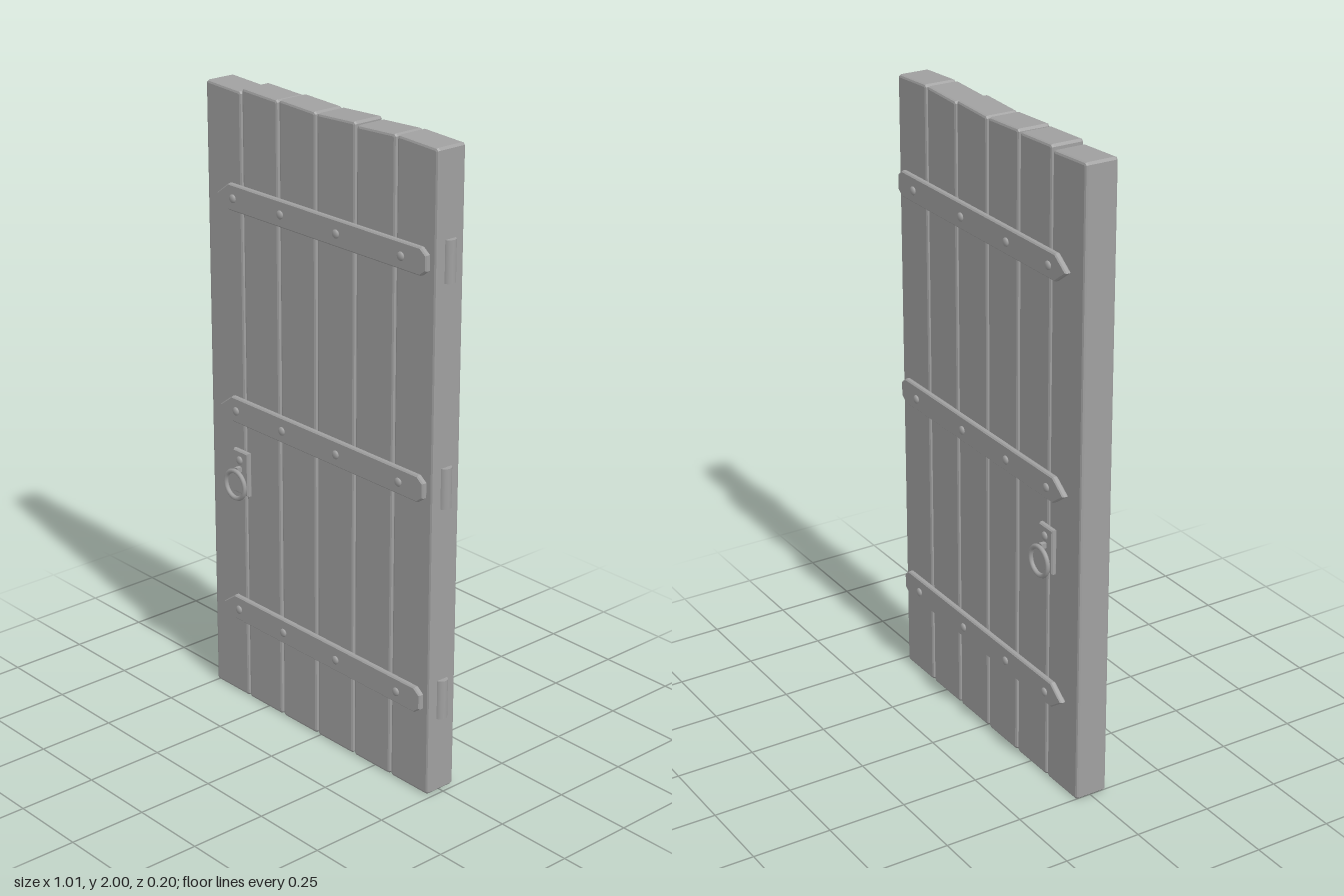
import * as THREE from 'three';

export function createModel() {
  const door = new THREE.Group();
  door.name = 'plankDoor';
  const grey = new THREE.MeshStandardMaterial({ color: 0xa0a0a0 });
  grey.name = 'grey';

  const add = (name, geometry, x = 0, y = 0, z = 0) => {
    const mesh = new THREE.Mesh(geometry, grey);
    mesh.name = name;
    mesh.position.set(x, y, z);
    door.add(mesh);
    return mesh;
  };

  // Bevelled slab from an outline, centred on z; the bevel stays inside the outline
  const slab = (points, thickness, bevel, segments) => {
    const shape = new THREE.Shape(points.map(([x, y]) => new THREE.Vector2(x, y)));
    const depth = thickness - 2 * bevel;
    const geometry = new THREE.ExtrudeGeometry(shape, {
      depth, bevelEnabled: true, bevelSize: bevel, bevelThickness: bevel,
      bevelOffset: -bevel, bevelSegments: segments,
    });
    return geometry.translate(0, 0, -depth / 2);
  };

  // Planks: left edge, right edge, top height at left and right
  const planks = [
    [-0.506, -0.345, 1.995, 1.988],
    [-0.341, -0.180, 2.0, 1.994],
    [-0.174, -0.014, 1.998, 1.992],
    [-0.009, 0.154, 1.991, 1.997],
    [0.159, 0.320, 1.99, 1.996],
    [0.325, 0.487, 1.997, 1.99],
  ];
  planks.forEach(([x0, x1, y0, y1], i) => {
    const c = 0.007;
    add(`plank${i + 1}`, slab([
      [x0 + c, 0], [x1 - c, 0], [x1, c], [x1, y1 - c],
      [x1 - c, y1], [x0 + c, y0], [x0, y0 - c], [x0, c],
    ], 0.105, 0.008, 2));
  });

  const strapGeometry = slab([
    [-0.443, 0], [-0.387, -0.041], [0.442, -0.041], [0.466, -0.023],
    [0.466, 0.023], [0.442, 0.041], [-0.387, 0.041],
  ], 0.019, 0.004, 1);
  const rivetGeometry = new THREE.SphereGeometry(0.0135, 12, 8).scale(1, 1, 0.5);
  const hingeGeometry = new THREE.CylinderGeometry(0.021, 0.021, 0.126, 14);
  const plateGeometry = slab([
    [-0.035, -0.072], [0.035, -0.072], [0.035, 0.072], [-0.035, 0.072],
  ], 0.018, 0.004, 1);
  const ringGeometry = new THREE.TorusGeometry(0.045, 0.0075, 8, 28);

  // Pointed iron straps with rivets on both faces, and hinge barrels on the edge
  for (const y of [0.31, 0.987, 1.665]) {
    for (const side of [1, -1]) {
      add('strap', strapGeometry, 0, y, side * 0.062);
      for (const x of [-0.361, -0.145, 0.099, 0.369]) {
        add('rivet', rivetGeometry, x, y, side * 0.076);
      }
    }
    add('hinge', hingeGeometry, 0.482, y, 0);
  }

  // Ring handle on both faces
  for (const side of [1, -1]) {
    add('handlePlate', plateGeometry, -0.351, 0.784, side * 0.061);
    add('handleRivet', rivetGeometry, -0.351, 0.826, side * 0.073);
    add('handleRing', ringGeometry, -0.351, 0.75, side * 0.091);
    // Staple holding the ring to the plate
    add('ringStaple', new THREE.BoxGeometry(0.014, 0.016, 0.02), -0.351, 0.797, side * 0.077);
  }

  return door;
}
